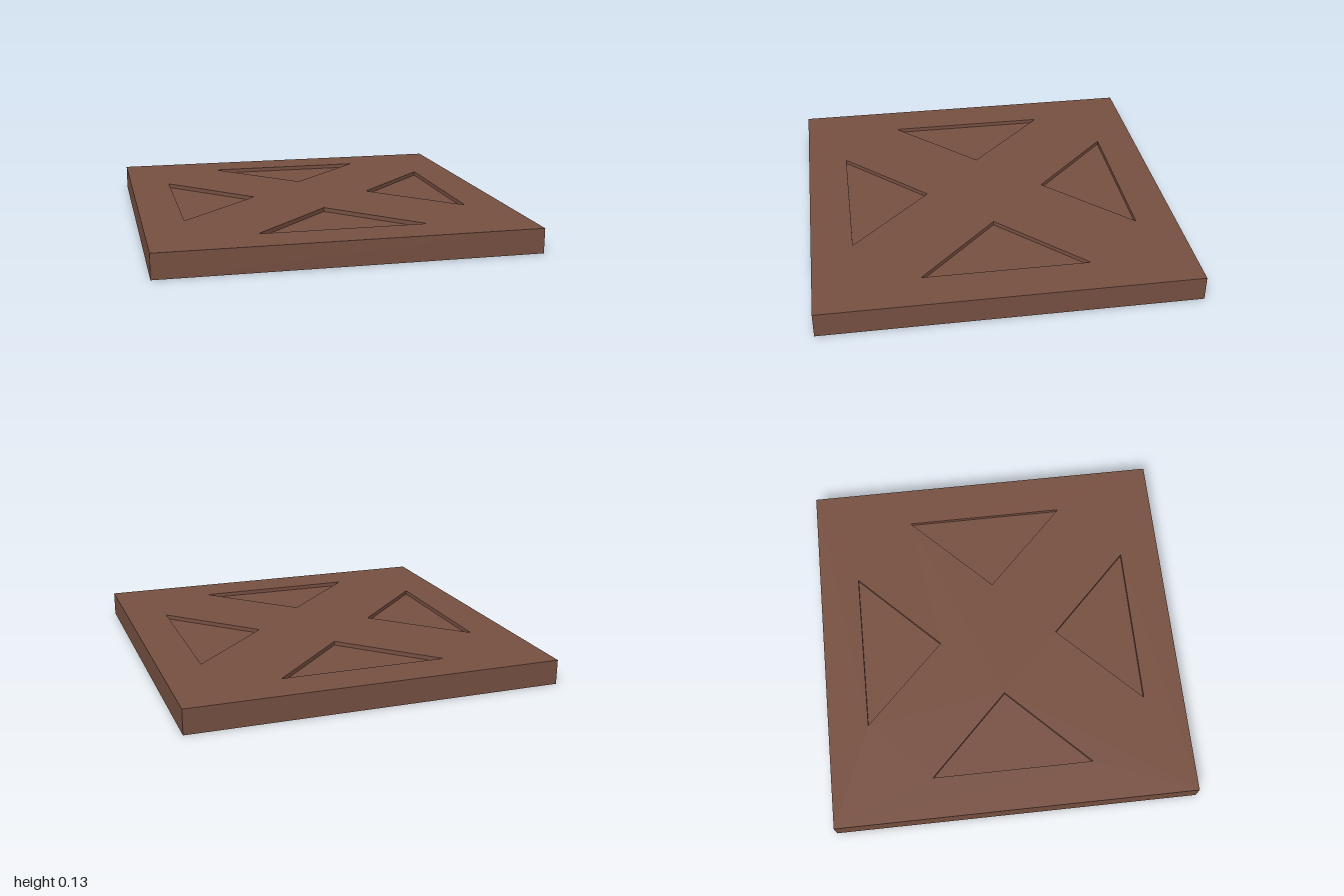
import * as THREE from 'three';

const HEIGHT = 0.133;
const DEPTH = 0.022; // depth of the triangular recesses

// Corners of one recess as [x, z], base toward the front edge
const TRIANGLE = [[-0.444, 0.778], [0.444, 0.778], [0, 0.333]];

// Quarter turn about the vertical axis, n times
function turn([x, z], n) {
  for (let i = 0; i < n; i++) [x, z] = [z, -x];
  return [x, z];
}

// Floor and inward-facing walls of a sunken triangle
function recessGeometry(corners) {
  const top = corners.map(([x, z]) => [x, HEIGHT, z]);
  const low = corners.map(([x, z]) => [x, HEIGHT - DEPTH, z]);
  const points = [...low];
  for (let i = 0; i < 3; i++) {
    const j = (i + 1) % 3;
    points.push(top[i], top[j], low[j], top[i], low[j], low[i]);
  }
  const geometry = new THREE.BufferGeometry();
  geometry.setAttribute('position', new THREE.Float32BufferAttribute(points.flat(), 3));
  geometry.computeVertexNormals();
  return geometry;
}

export function createModel() {
  const group = new THREE.Group();
  group.name = 'floorTile';
  const brown = new THREE.MeshStandardMaterial({ color: 0x775041 });
  brown.name = 'brown';

  const add = (name, geometry) => {
    const mesh = new THREE.Mesh(geometry, brown);
    mesh.name = name;
    group.add(mesh);
  };

  // Slab sides and underside: a box without its upper face
  const slab = new THREE.BoxGeometry(2, HEIGHT, 2);
  const upper = slab.groups[2];
  slab.setIndex([...slab.index.array].filter((_, i) => i < upper.start || i >= upper.start + upper.count));
  slab.clearGroups();
  slab.translate(0, HEIGHT / 2, 0);
  add('slab', slab);

  // Upper face with four triangular openings, and the recess below each
  const face = new THREE.Shape([[-1, -1], [1, -1], [1, 1], [-1, 1]].map(([x, y]) => new THREE.Vector2(x, y)));
  ['front', 'left', 'back', 'right'].forEach((side, n) => {
    const corners = TRIANGLE.map((p) => turn(p, n));
    face.holes.push(new THREE.Path(corners.map(([x, z]) => new THREE.Vector2(x, -z))));
    add(side + 'Recess', recessGeometry(corners));
  });
  const topGeometry = new THREE.ShapeGeometry(face);
  topGeometry.rotateX(-Math.PI / 2).translate(0, HEIGHT, 0);
  add('topFace', topGeometry);

  return group;
}
